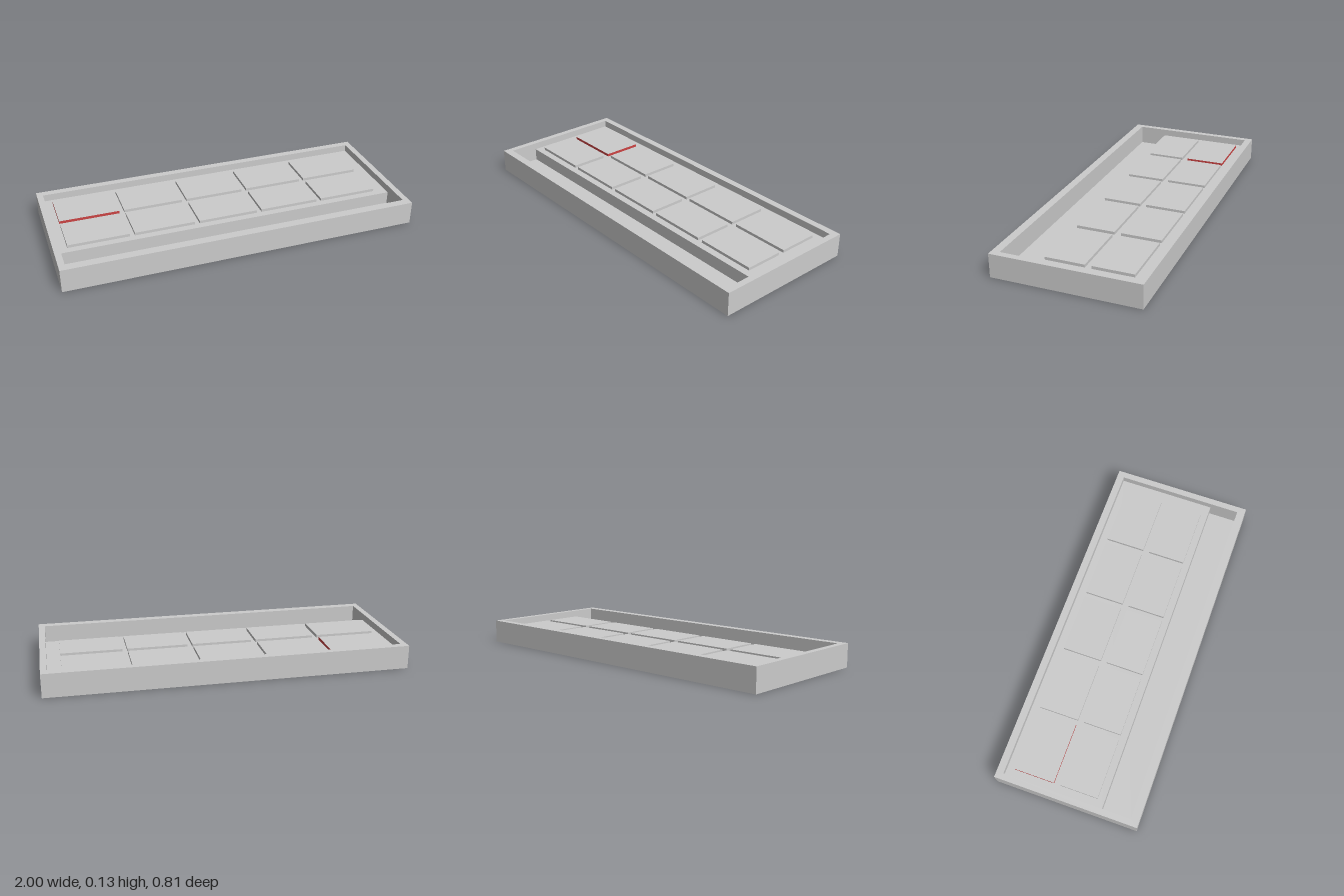
import * as THREE from 'three';

const grey = new THREE.MeshStandardMaterial({ color: 0xcccccc });
const red = new THREE.MeshStandardMaterial({ color: 0xcc4444 });

// box given by its minimum and maximum corners
function slab(name, [x0, y0, z0], [x1, y1, z1], material = grey) {
  const mesh = new THREE.Mesh(new THREE.BoxGeometry(x1 - x0, y1 - y0, z1 - z0), material);
  mesh.position.set((x0 + x1) / 2, (y0 + y1) / 2, (z0 + z1) / 2);
  mesh.name = name;
  return mesh;
}

export function createModel() {
  const model = new THREE.Group();
  model.name = 'tileTray';

  const X = 1, Z = 0.405, H = 0.132;
  const innerX = 0.965, innerBack = -0.365, innerFront = 0.36;
  const floorY = 0.02, shelfY = 0.092, tileY = 0.108;

  // rim: rectangular frame extruded upwards
  const outline = new THREE.Shape([[-X, -Z], [X, -Z], [X, Z], [-X, Z]].map(p => new THREE.Vector2(...p)));
  outline.holes.push(new THREE.Path(
    [[-innerX, -innerFront], [-innerX, -innerBack], [innerX, -innerBack], [innerX, -innerFront]]
      .map(p => new THREE.Vector2(...p))));
  const rimGeometry = new THREE.ExtrudeGeometry(outline, { depth: H, bevelEnabled: false });
  rimGeometry.rotateX(-Math.PI / 2);
  const rim = new THREE.Mesh(rimGeometry, grey);
  rim.name = 'rim';
  model.add(rim);

  // floor of the front channel, and the raised shelf behind it
  model.add(slab('floor', [-innerX, 0, innerBack], [innerX, floorY, innerFront]));
  model.add(slab('shelf', [-innerX, floorY, innerBack], [innerX, shelfY, 0.195]));

  // two rows of five tiles; the back corner tile has coloured edges
  const tiles = new THREE.Group();
  tiles.name = 'tiles';
  const edged = [red, red, grey, grey, red, red];
  [[-0.32, -0.095], [-0.06, 0.155]].forEach(([z0, z1], row) => {
    for (let col = 0; col < 5; col++) {
      const x0 = -0.92 + col * 0.3675;
      const material = row === 0 && col === 0 ? edged : grey;
      tiles.add(slab(`tile${row * 5 + col + 1}`, [x0, shelfY, z0], [x0 + 0.34, tileY, z1], material));
    }
  });
  model.add(tiles);
  return model;
}
